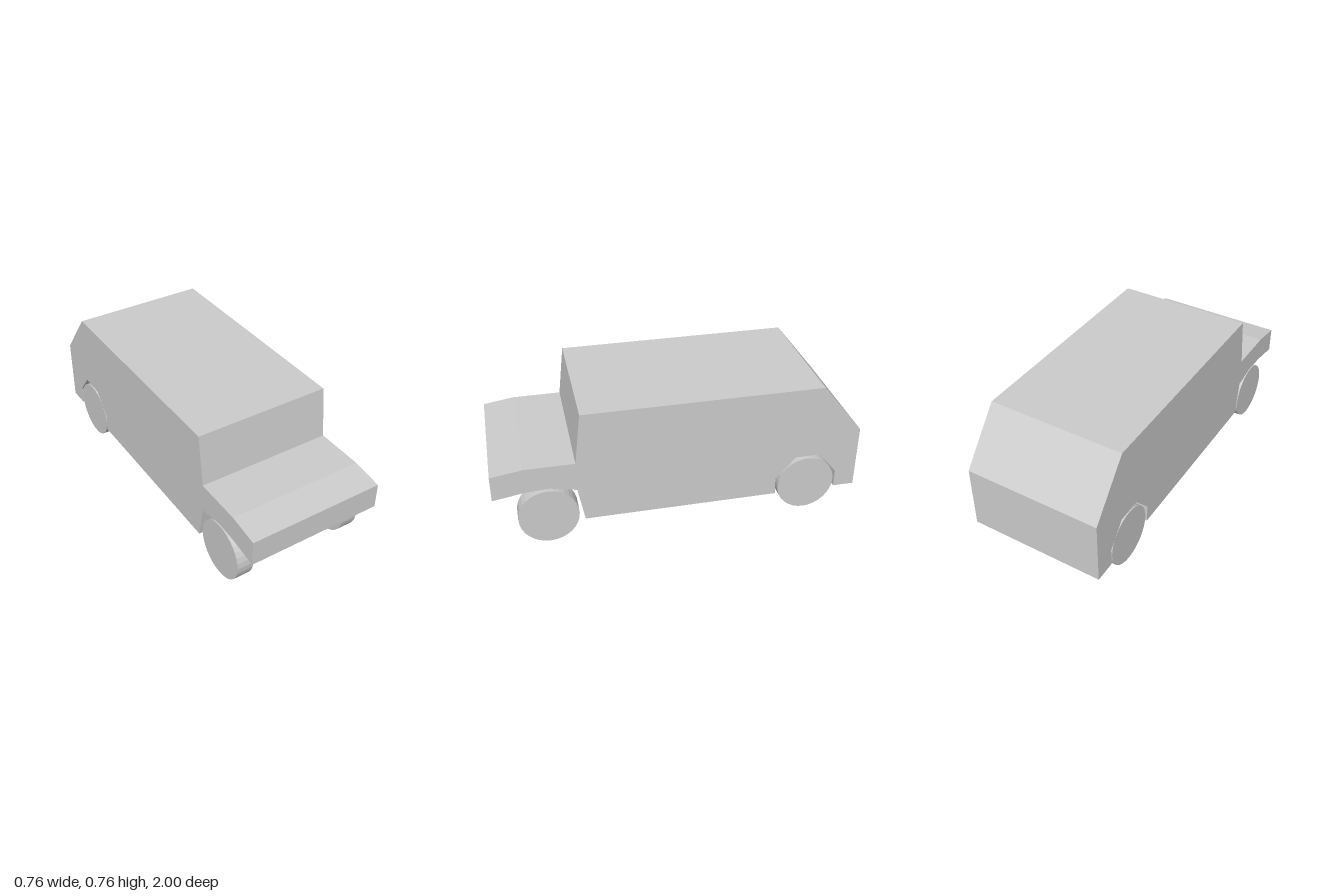
import * as THREE from 'three';
import { ConvexGeometry } from 'three/addons/geometries/ConvexGeometry.js';

const HALF_WIDTH = 0.38;
const WHEEL_RADIUS = 0.162;
const WHEEL_WIDTH = 0.094;

export function createModel() {
  const model = new THREE.Group();
  model.name = 'van';
  const material = new THREE.MeshStandardMaterial({ color: 0xcccccc, flatShading: true });

  const add = (name, geometry, x = 0, y = 0, z = 0) => {
    const mesh = new THREE.Mesh(geometry, material);
    mesh.name = name;
    mesh.position.set(x, y, z);
    model.add(mesh);
  };

  // Body: side profile (z, y) extruded across the full width, wheel arches included
  const profile = [
    [1, 0.307], [1, 0.45], [0.83, 0.475], [0.56, 0.475], [0.525, 0.76],
    [-0.77, 0.76], [-1, 0.475], [-1, 0.115],
    [-0.883, 0.115], [-0.883, 0.215], [-0.782, 0.34], [-0.642, 0.34], [-0.533, 0.215], [-0.537, 0.115],
    [0.525, 0.115], [0.56, 0.31], [0.7, 0.34], [0.83, 0.333],
  ].map(([z, y]) => new THREE.Vector2(z, y));
  const body = new THREE.ExtrudeGeometry(new THREE.Shape(profile), {
    depth: HALF_WIDTH * 2, bevelEnabled: false,
  });
  body.rotateY(-Math.PI / 2).translate(HALF_WIDTH, 0, 0);
  add('body', body);

  // Chin under the nose, tapering in towards its lower edge
  const chin = [];
  for (const side of [-1, 1]) {
    for (const [x, y, z] of [
      [HALF_WIDTH, 0.307, 1], [HALF_WIDTH, 0.333, 0.83],
      [0.23, 0.274, 0.96], [0.23, 0.29, 0.86],
    ]) chin.push(new THREE.Vector3(side * x, y, z));
  }
  add('frontChin', new ConvexGeometry(chin));

  // Wheels and axles
  const wheel = new THREE.CylinderGeometry(WHEEL_RADIUS, WHEEL_RADIUS, WHEEL_WIDTH, 32).rotateZ(Math.PI / 2);
  const axle = new THREE.CylinderGeometry(0.027, 0.027, 0.62, 8).rotateZ(Math.PI / 2);
  for (const [end, z] of [['front', 0.717], ['rear', -0.711]]) {
    add(end + 'Axle', axle, 0, 0.165, z);
    add(end + 'LeftWheel', wheel, 0.334, WHEEL_RADIUS, z);
    add(end + 'RightWheel', wheel, -0.331, WHEEL_RADIUS, z);
  }
  return model;
}
